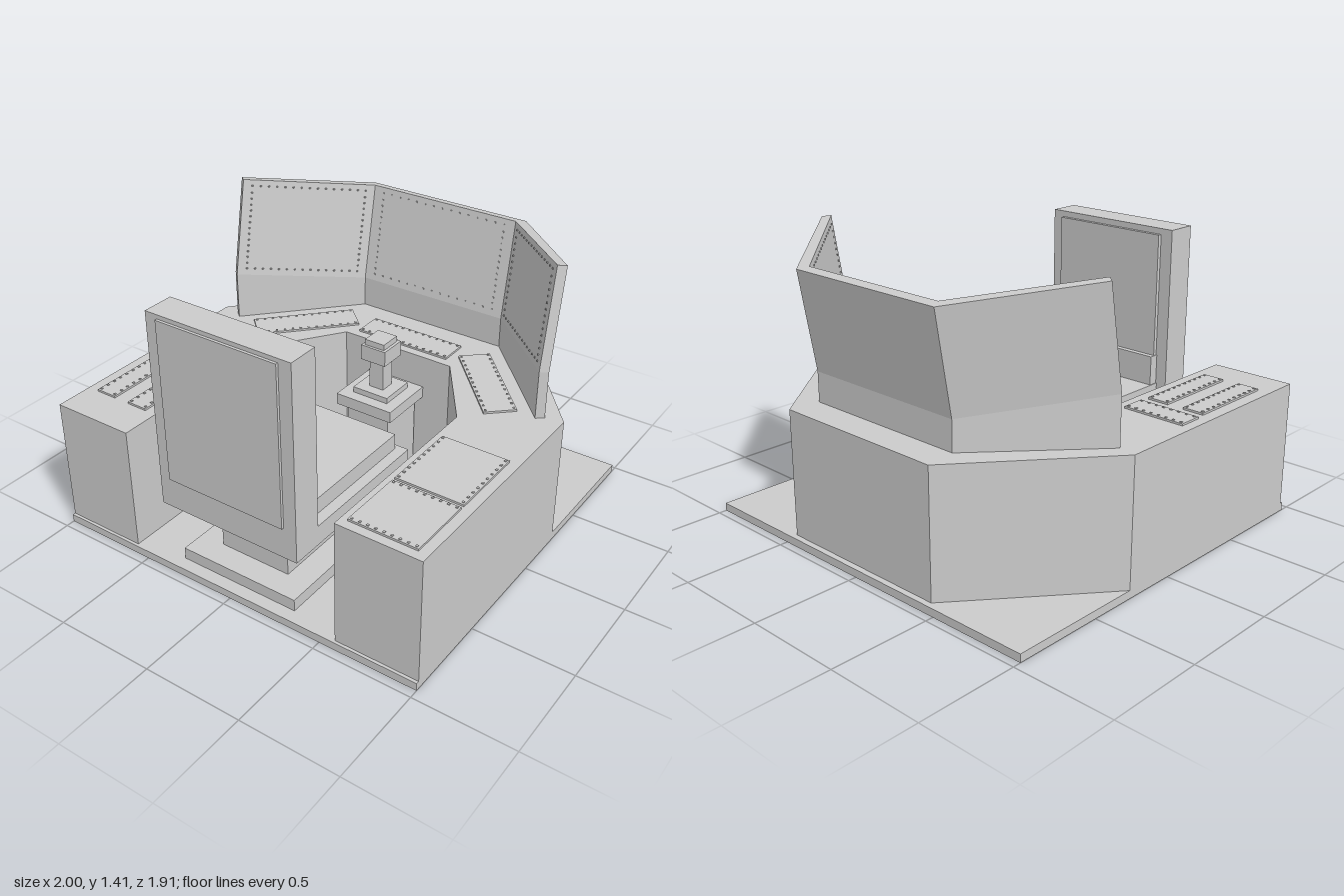
import * as THREE from 'three';

const mat = new THREE.MeshStandardMaterial({ color: 0xcccccc, flatShading: true });

function add(parent, name, geometry) {
  const mesh = new THREE.Mesh(geometry, mat);
  mesh.name = name;
  parent.add(mesh);
  return mesh;
}

// Box given by its limits on each axis
function box(parent, name, x0, x1, y0, y1, z0, z1) {
  const mesh = add(parent, name, new THREE.BoxGeometry(x1 - x0, y1 - y0, z1 - z0));
  mesh.position.set((x0 + x1) / 2, (y0 + y1) / 2, (z0 + z1) / 2);
  return mesh;
}

function group(parent, name) {
  const g = new THREE.Group();
  g.name = name;
  parent.add(g);
  return g;
}

const rivetGeometry = new THREE.BoxGeometry(0.01, 0.006, 0.01);

// Thin control panel with a row of rivets along both long edges
function controlPanel(parent, name, x, z, w, d, angle = 0) {
  const g = group(parent, name);
  g.position.set(x, 0.67, z);
  g.rotation.y = angle;
  box(g, 'panelPlate', -w / 2, w / 2, 0, 0.01, -d / 2, d / 2);
  const alongX = w > d, long = Math.max(w, d), short = Math.min(w, d);
  const n = Math.round(long / 0.045);
  for (let i = 0; i <= n; i++) {
    for (const s of [-1, 1]) {
      const u = (i / n - 0.5) * (long - 0.03), v = s * (short / 2 - 0.012);
      add(g, 'panelRivet', rivetGeometry).position.set(alongX ? u : v, 0.011, alongX ? v : u);
    }
  }
}

// U-shaped console with chamfered back corners
function buildConsole(root) {
  const half = [[0.575, 0.94], [1, 0.94], [1, -0.27], [0.46, -0.93]];
  const inner = [[0.31, -0.41], [0.575, -0.03]];
  const mirror = (pts) => pts.map(([x, z]) => [-x, z]).reverse();
  const outline = [...half, ...mirror(half), ...mirror(inner), ...inner];
  const shape = new THREE.Shape(outline.map(([x, z]) => new THREE.Vector2(x, -z)));
  const geo = new THREE.ExtrudeGeometry(shape, { depth: 0.63, bevelEnabled: false });
  add(root, 'console', geo.rotateX(-Math.PI / 2)).position.y = 0.04;
}

// Three-sided screen: upright foot, then a part leaning back
const plan = [[-0.91, -0.255], [-0.44, -0.775], [0.44, -0.775], [0.91, -0.255],
  [0.875, -0.225], [0.41, -0.725], [-0.41, -0.725], [-0.875, -0.225]];
const creaseY = (z) => 0.955 + 0.175 * z;
const leaning = (x, z, v) => [x, creaseY(z) + 0.495 * v, z - 0.087 * v];

function buildScreen(root) {
  const g = group(root, 'screen');
  const rings = [
    plan.map(([x, z]) => [x, 0.67, z]),
    plan.map(([x, z]) => leaning(x, z, 0)),
    plan.map(([x, z]) => leaning(x, z, 1)),
  ];
  const pos = [];
  const quad = (a, b, c, d) => pos.push(...a, ...b, ...c, ...a, ...c, ...d);
  for (let r = 0; r < 2; r++) {
    for (let i = 0; i < 8; i++) {
      const j = (i + 1) % 8;
      quad(rings[r][i], rings[r + 1][i], rings[r + 1][j], rings[r][j]);
    }
  }
  for (let k = 0; k < 3; k++) {
    const t = rings[2], b = rings[0];
    quad(t[k], t[7 - k], t[6 - k], t[k + 1]);
    quad(b[k], b[k + 1], b[6 - k], b[7 - k]);
  }
  const geo = new THREE.BufferGeometry();
  geo.setAttribute('position', new THREE.Float32BufferAttribute(pos, 3));
  geo.computeVertexNormals();
  add(g, 'screenWall', geo);

  // Rivets round the border of each inner face
  const dot = new THREE.BoxGeometry(0.007, 0.007, 0.007);
  for (let k = 4; k < 7; k++) {
    const [p, q] = [plan[k], plan[k + 1]];
    const put = (t, v) => add(g, 'screenRivet', dot).position.set(
      ...leaning(p[0] + (q[0] - p[0]) * t, p[1] + (q[1] - p[1]) * t, v));
    for (let i = 0; i <= 14; i++) {
      const s = 0.07 + 0.86 * i / 14;
      put(s, 0.07);
      put(s, 0.94);
      if (i > 0 && i < 14) {
        put(0.07, s);
        put(0.93, s);
      }
    }
  }
}

function buildSeat(root) {
  const g = group(root, 'seat');
  box(g, 'seatFootPlate', -0.32, 0.32, 0.04, 0.1, 0.11, 0.89);
  box(g, 'seatPedestal', -0.19, 0.19, 0.1, 0.37, 0.25, 0.765);
  box(g, 'seatBase', -0.38, 0.38, 0.37, 0.47, 0.07, 0.94);
  box(g, 'seatCushion', -0.325, 0.325, 0.47, 0.55, 0.1, 0.785);
  box(g, 'backrest', -0.38, 0.38, 0.47, 1.35, 0.785, 0.94);
  box(g, 'backrestRearPanel', -0.315, 0.315, 0.53, 1.33, 0.94, 0.953);
  box(g, 'backrestPad', -0.315, 0.315, 0.55, 1.32, 0.765, 0.785);
  box(g, 'lumbarPad', -0.32, 0.32, 0.55, 0.7, 0.737, 0.785);
}

function buildControlStick(root) {
  const g = group(root, 'controlStick');
  box(g, 'stickPedestal', -0.12, 0.12, 0.04, 0.44, -0.4, -0.15);
  box(g, 'stickShelf', -0.16, 0.16, 0.44, 0.5, -0.41, -0.11);
  box(g, 'stickPlate', -0.1, 0.1, 0.5, 0.53, -0.36, -0.17);
  box(g, 'stickShaft', -0.04, 0.04, 0.53, 0.69, -0.305, -0.225);
  box(g, 'stickGrip', -0.07, 0.07, 0.69, 0.77, -0.335, -0.192);
  box(g, 'stickCap', -0.055, 0.055, 0.77, 0.8, -0.32, -0.205);
}

export function createModel() {
  const root = new THREE.Group();
  root.name = 'controlStation';
  box(root, 'floorPlate', -1, 1, 0, 0.04, -0.96, 0.955);
  buildConsole(root);
  buildScreen(root);
  buildSeat(root);
  buildControlStick(root);

  // Panels on the console top
  controlPanel(root, 'leftFrontPanel', 0.78, 0.73, 0.34, 0.33);
  controlPanel(root, 'leftRearPanel', 0.78, 0.35, 0.34, 0.39);
  controlPanel(root, 'rightOuterStrip', -0.885, 0.525, 0.11, 0.45);
  controlPanel(root, 'rightInnerStrip', -0.69, 0.525, 0.11, 0.45);
  controlPanel(root, 'rightCrossPanel', -0.79, 0.19, 0.32, 0.12);
  controlPanel(root, 'dashCentrePanel', 0, -0.53, 0.52, 0.15);
  for (const s of [-1, 1]) {
    controlPanel(root, s > 0 ? 'dashLeftPanel' : 'dashRightPanel', s * 0.54, -0.37, 0.53, 0.16, -s * 0.82);
  }
  return root;
}
